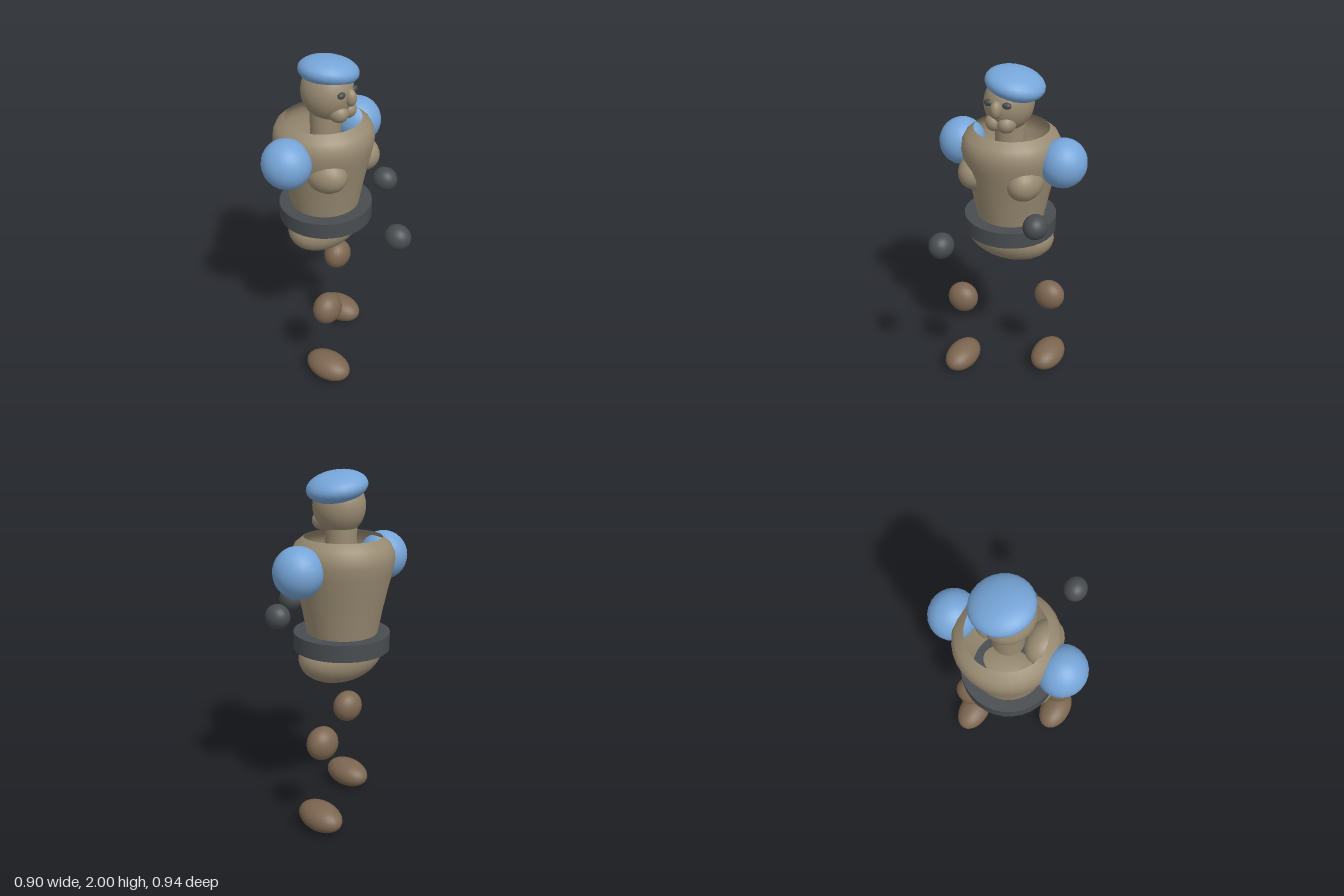
import * as THREE from 'three';

const tan = new THREE.MeshStandardMaterial({ name: 'tan', color: 0x998b72, side: THREE.DoubleSide });
const blue = new THREE.MeshStandardMaterial({ name: 'blue', color: 0x76a5d8 });
const charcoal = new THREE.MeshStandardMaterial({ name: 'charcoal', color: 0x484c50 });
const brown = new THREE.MeshStandardMaterial({ name: 'brown', color: 0x7c6650 });

export function createModel() {
  const model = new THREE.Group();
  model.name = 'figure';

  const add = (name, geometry, material, x, y, z) => {
    const mesh = new THREE.Mesh(geometry, material);
    mesh.name = name;
    mesh.position.set(x, y, z);
    model.add(mesh);
    return mesh;
  };
  const ball = (name, material, [x, y, z], [rx, ry, rz]) =>
    add(name, new THREE.SphereGeometry(1, 24, 16).scale(rx, ry, rz), material, x, y, z);

  // Torso: hollow shell, open at the collar
  const profile = [
    [0, 1.05], [0.185, 1.05], [0.197, 1.12], [0.222, 1.25], [0.25, 1.38],
    [0.272, 1.47], [0.282, 1.53], [0.277, 1.575], [0.258, 1.615], [0.212, 1.652],
  ].map(([r, y]) => new THREE.Vector2(r, y));
  add('torso', new THREE.LatheGeometry(profile, 32), tan, 0, 0, -0.187);

  // Hips and belt
  ball('hips', tan, [0, 0.99, -0.18], [0.275, 0.16, 0.182]);
  add('belt', new THREE.CylinderGeometry(0.268, 0.268, 0.095, 32), charcoal, 0, 1.075, -0.183);

  // Head, neck and hat
  add('neck', new THREE.CylinderGeometry(0.086, 0.086, 0.22, 24), tan, 0, 1.61, -0.172);
  ball('head', tan, [0, 1.81, -0.155], [0.136, 0.155, 0.15]);
  ball('nose', tan, [0, 1.812, -0.005], [0.03, 0.048, 0.036]);
  ball('hat', blue, [0.028, 1.913, -0.167], [0.166, 0.08, 0.164]).rotation.z = -0.2;

  // Mirrored parts
  for (const [side, s] of [['left', 1], ['right', -1]]) {
    ball(side + 'Eye', charcoal, [s * 0.054, 1.838, -0.022], [0.026, 0.018, 0.018]);
    ball(side + 'Cheek', tan, [s * 0.036, 1.722, -0.06], [0.05, 0.052, 0.06]).rotation.z = -s * 0.4;
    ball(side + 'Shoulder', blue, [s * 0.318, 1.503, -0.187], [0.132, 0.138, 0.138]);
    ball(side + 'ChestPad', tan, [s * 0.15, 1.405, -0.06], [0.1, 0.105, 0.13]);
  }

  // Hands, posed separately
  ball('leftHand', charcoal, [0.27, 1.205, 0.045], [0.068, 0.071, 0.075]);
  ball('rightHand', charcoal, [-0.117, 1.16, 0.391], [0.068, 0.071, 0.075]);

  // Knees and feet in a stride, right leg forward
  for (const [side, s, z] of [['left', 1, -0.278], ['right', -1, -0.005]]) {
    ball(side + 'Knee', brown, [s * 0.23, 0.54, z], [0.095, 0.095, 0.08]);
    ball(side + 'Foot', brown, [s * 0.24, 0.082, z + 0.005], [0.098, 0.081, 0.15]);
  }

  return model;
}
